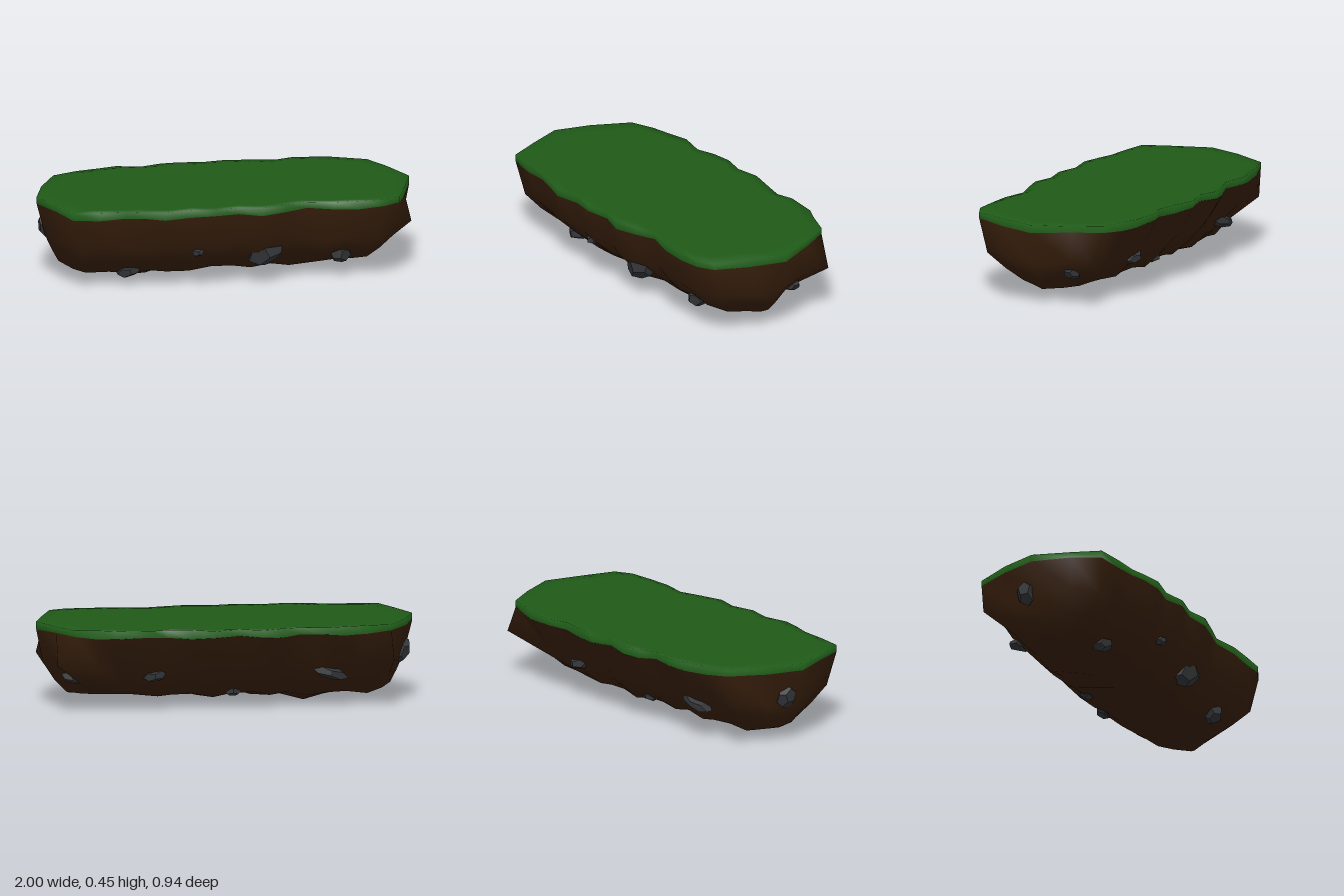
import * as THREE from 'three';

// rim outline as x, z pairs: left tip, along the front, right tip, along the back
const RIM = [
  -1, .04, -.93, .24, -.87, .39, -.73, .41, -.59, .42, -.5, .445, -.39, .468, -.25, .44, -.12, .468,
  .01, .44, .13, .468, .26, .435, .38, .4, .52, .43, .66, .43, .79, .425, .88, .38, .94, .2,
  1, 0, .92, -.2, .84, -.35, .72, -.39, .63, -.43, .45, -.445, .36, -.415, .23, -.44, .1, -.47,
  -.02, -.44, -.15, -.47, -.25, -.45, -.35, -.415, -.49, -.445, -.58, -.42, -.71, -.39, -.84, -.345, -.94, -.15,
];
const N = RIM.length / 2;
const rim = Array.from({ length: N }, (_, i) => ({ x: RIM[2 * i], z: RIM[2 * i + 1] }));

// ragged line along the bottom, x and y; front and back columns of the rim share its points
const KEEL = [[-.86, .075], [-.82, .055], [-.72, .035], [-.62, .045], [-.53, .03], [-.42, 0], [-.29, .035],
  [-.13, .035], [-.06, .065], [.04, .06], [.15, .035], [.25, .06], [.35, .035], [.45, .05], [.55, .065],
  [.63, .065], [.7, .063], [.77, .06], [.82, .06]];
const keel = (i) => KEEL[Math.min(i, N - i)];

function surface(positions, index) {
  const g = new THREE.BufferGeometry();
  g.setAttribute('position', new THREE.Float32BufferAttribute(positions, 3));
  g.setIndex(index);
  g.computeVertexNormals();
  return g;
}

// surface through closed rings of N points, listed from top to bottom
function loft(rings) {
  const index = [];
  for (let r = 0; r + 1 < rings.length; r++) {
    for (let i = 0; i < N; i++) {
      const j = (i + 1) % N, a = r * N, b = a + N;
      index.push(a + i, b + i, b + j, a + i, b + j, a + j);
    }
  }
  return surface(rings.flat(2), index);
}

export function createModel() {
  const group = new THREE.Group();
  const add = (name, geometry, material) => {
    const mesh = new THREE.Mesh(geometry, material);
    mesh.name = name;
    group.add(mesh);
    return mesh;
  };
  const grass = new THREE.MeshStandardMaterial({ color: 0x1f5a18 });
  const dirt = new THREE.MeshStandardMaterial({ color: 0x361e0b });
  const stone = new THREE.MeshStandardMaterial({ color: 0x323437, flatShading: true });

  // grass: flat top rounding softly into a thin band with a wavy lower edge
  const topY = (p) => (p.z < -.38 && p.z > -.46 ? .451 : .447);
  const hemRing = rim.map((p, i) => [p.x, .409 + .007 * Math.sin(i * 1.7), p.z]);
  const topRing = rim.map((p) => [p.x, topY(p), p.z]);
  const innerRing = rim.map((p) => [p.x * .9, .447, p.z * .9]);
  const fan = [];
  for (let i = 0; i < N; i++) fan.push(N, i, (i + 1) % N);
  add('grassTop', surface([...innerRing.flat(), 0, .447, 0], fan), grass);
  add('grassEdge', loft([innerRing, topRing, hemRing]), grass);

  // dirt: rings shrink towards the keel; [y, front z scale, back z scale, left x scale, right x scale]
  const levels = [[.235, .915, .75, .955, .965], [.14, .71, .55, .915, .9], [.06, .5, .36, .88, .84]];
  // lumps sticking out at the ends, per level and rim column
  const bulges = [{ 1: -.03, 17: .07, 19: .03, 20: .118, 34: -.055 }, { 17: .03, 19: .02, 20: .06 }, {}];
  const dirtRings = levels.map(([y, front, back, left, right], level) => rim.map((p, i) => {
    const lump = bulges[level][i] || 0;
    const sz = level === 0 && lump ? .94 : p.z > 0 ? front : back;
    const wave = lump ? .02 : .01 * Math.sin(i * 2.3 + level);
    return [p.x * (p.x < 0 ? left : right) + lump, Math.max(y + wave, keel(i)[1] + .01), p.z * sz];
  }));
  const keelRing = rim.map((p, i) => [...keel(i), .03]);
  add('dirt', loft([hemRing, ...dirtRings, keelRing]), dirt);

  // stones half sunk into the dirt: position, then half sizes, then tilt
  const stones = [
    [.17, .175, .33, .11, .075, .07, .5],
    [.58, .125, .265, .06, .055, .06, -.2],
    [-.2, .2, .38, .034, .026, .035, .2],
    [-.54, .075, .215, .07, .04, .06, .3],
    [-.935, .26, -.02, .045, .07, .06, .4],
    [-.02, .085, -.16, .05, .03, .04, 0],
    [.83, .17, -.155, .065, .032, .045, .3],
    [.41, .19, -.275, .065, .035, .06, -.2],
    [-.52, .19, -.28, .11, .035, .055, .3],
  ];
  for (const [x, y, z, w, h, d, tilt] of stones) {
    const mesh = add('stone', new THREE.DodecahedronGeometry(1, 0), stone);
    mesh.position.set(x, y, z);
    mesh.scale.set(w, h, d);
    mesh.rotation.z = tilt;
  }
  return group;
}
